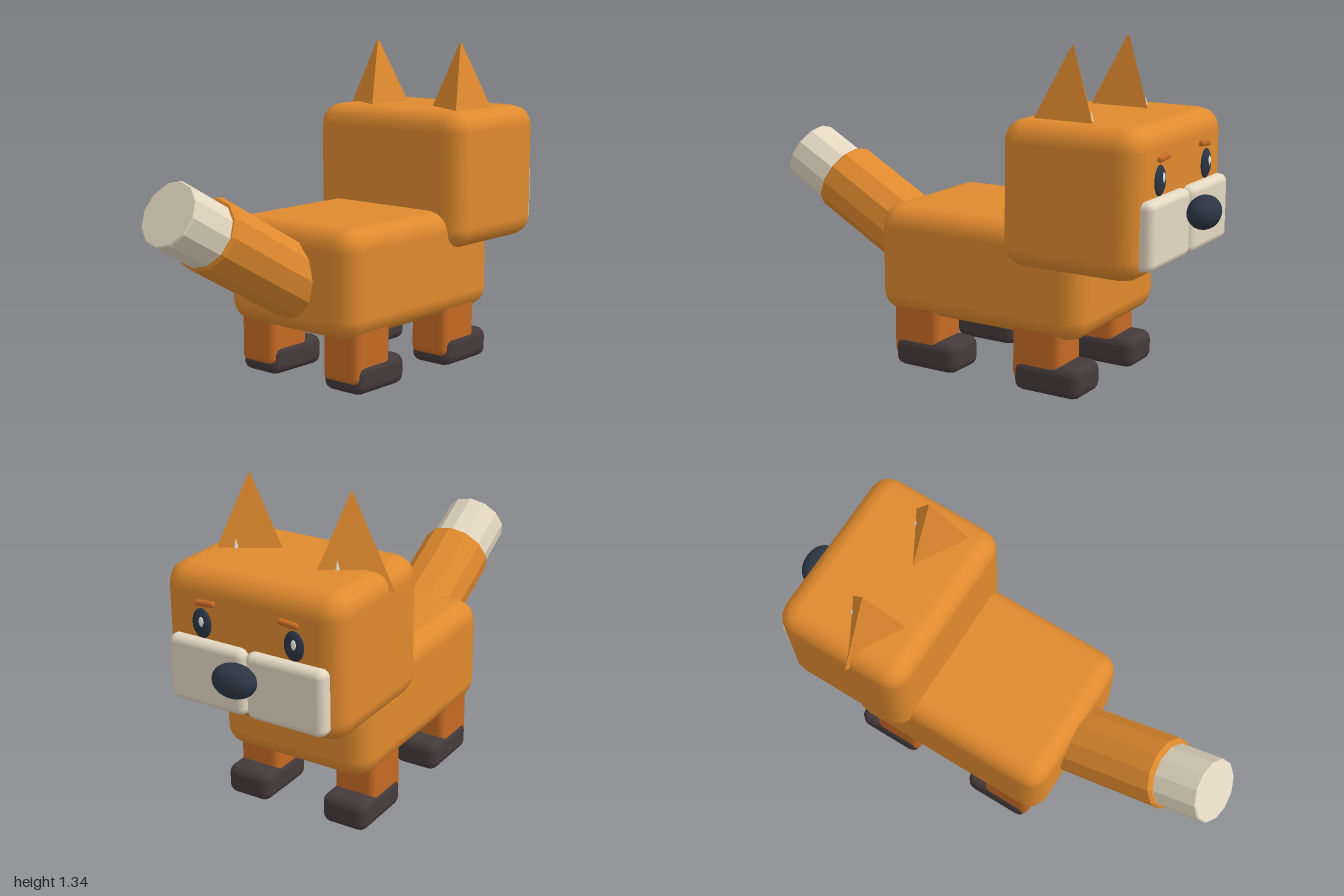
import * as THREE from 'three';
import { RoundedBoxGeometry } from 'three/addons/geometries/RoundedBoxGeometry.js';

const material = (name, color, flatShading = false) => {
  const m = new THREE.MeshStandardMaterial({ color, flatShading });
  m.name = name;
  return m;
};

export function createModel() {
  const group = new THREE.Group();
  const orange = material('orangeFur', 0xe08a2e);
  const rust = material('rustFur', 0xc66a24);
  const cream = material('creamFur', 0xe4d8c2);
  const paw = material('darkPaw', 0x453a3b);
  const navy = material('navyBlack', 0x2b3645);
  const glint = material('eyeGlint', 0xe8eaec);
  const CX = 0.005; // body centre line

  const add = (name, geometry, mat, x, y, z) => {
    const mesh = new THREE.Mesh(geometry, mat);
    mesh.name = name;
    mesh.position.set(x, y, z);
    group.add(mesh);
    return mesh;
  };

  // Rounded box given by its minimum and maximum corners
  const box = (name, mat, [x0, y0, z0], [x1, y1, z1], radius) =>
    add(name, new RoundedBoxGeometry(x1 - x0, y1 - y0, z1 - z0, 2, radius), mat,
      (x0 + x1) / 2, (y0 + y1) / 2, (z0 + z1) / 2);

  const ellipsoid = (name, mat, x, y, z, rx, ry, rz) =>
    add(name, new THREE.SphereGeometry(1, 20, 14), mat, x, y, z).scale.set(rx, ry, rz);

  // Body and head
  box('body', orange, [-0.328, 0.22, -0.6], [0.338, 0.66, 0.335], 0.085);
  box('head', orange, [-0.38, 0.5, -0.85], [0.39, 1.065, -0.27], 0.085);

  // Legs and paws
  for (const side of [-1, 1]) {
    const x = CX + side * 0.223;
    for (const [end, z] of [['front', -0.4], ['rear', 0.16]]) {
      box(end + 'Leg', rust, [x - 0.09, 0.04, z - 0.105], [x + 0.09, 0.29, z + 0.11], 0.03);
      box(end + 'Paw', paw, [x - 0.098, 0, z - 0.19], [x + 0.098, 0.125, z + 0.1], 0.038);
    }
  }

  // Faceted tail segments with bevelled rims, ending at a given point
  const TILT = THREE.MathUtils.degToRad(61);
  const tailPart = (name, mat, radius, length, bevel, endY, endZ) => {
    const profile = [
      [0, 0], [radius - bevel, 0], [radius, bevel],
      [radius, length - bevel], [radius - bevel, length], [0, length],
    ].map(([r, y]) => new THREE.Vector2(r, y));
    const mesh = add(name, new THREE.LatheGeometry(profile, 12).toNonIndexed(), mat,
      CX, endY - length * Math.cos(TILT), endZ - length * Math.sin(TILT));
    mesh.geometry.computeVertexNormals(); // one normal per facet
    mesh.rotation.x = TILT;
  };
  tailPart('tail', orange, 0.149, 0.62, 0.012, 0.68, 0.755);
  tailPart('tailTip', cream, 0.132, 0.23, 0.006, 0.773, 0.936);

  // Three-sided ears, each with a small pale tuft in front
  for (const x of [-0.217, 0.228]) {
    const ear = new THREE.CylinderGeometry(0.004, 0.18, 0.345, 3).toNonIndexed();
    ear.computeVertexNormals();
    ear.rotateY(Math.PI / 2 + Math.PI);
    add('ear', ear, orange, x, 1.1625, -0.5);
    add('earTuft', new THREE.ConeGeometry(0.015, 0.06, 6), cream, x + 0.01, 1.072, -0.585);
  }

  // Muzzle halves and nose
  box('muzzleRight', cream, [-0.335, 0.547, -0.89], [0, 0.807, -0.8], 0.03);
  box('muzzleLeft', cream, [0.003, 0.547, -0.89], [0.34, 0.807, -0.8], 0.03);
  ellipsoid('nose', navy, 0.003, 0.72, -0.94, 0.09, 0.065, 0.06);

  // Eyes, glints and brows
  for (const side of [-1, 1]) {
    const x = CX + side * 0.2;
    ellipsoid('eye', navy, x, 0.865, -0.85, 0.042, 0.058, 0.016);
    ellipsoid('eyeGlint', glint, x - 0.006, 0.875, -0.863, 0.011, 0.02, 0.006);
    const brow = box('brow', rust, [x - side * 0.02 - 0.042, 0.935, -0.866],
      [x - side * 0.02 + 0.042, 0.958, -0.84], 0.01);
    brow.rotation.z = -side * 0.08;
  }
  return group;
}
